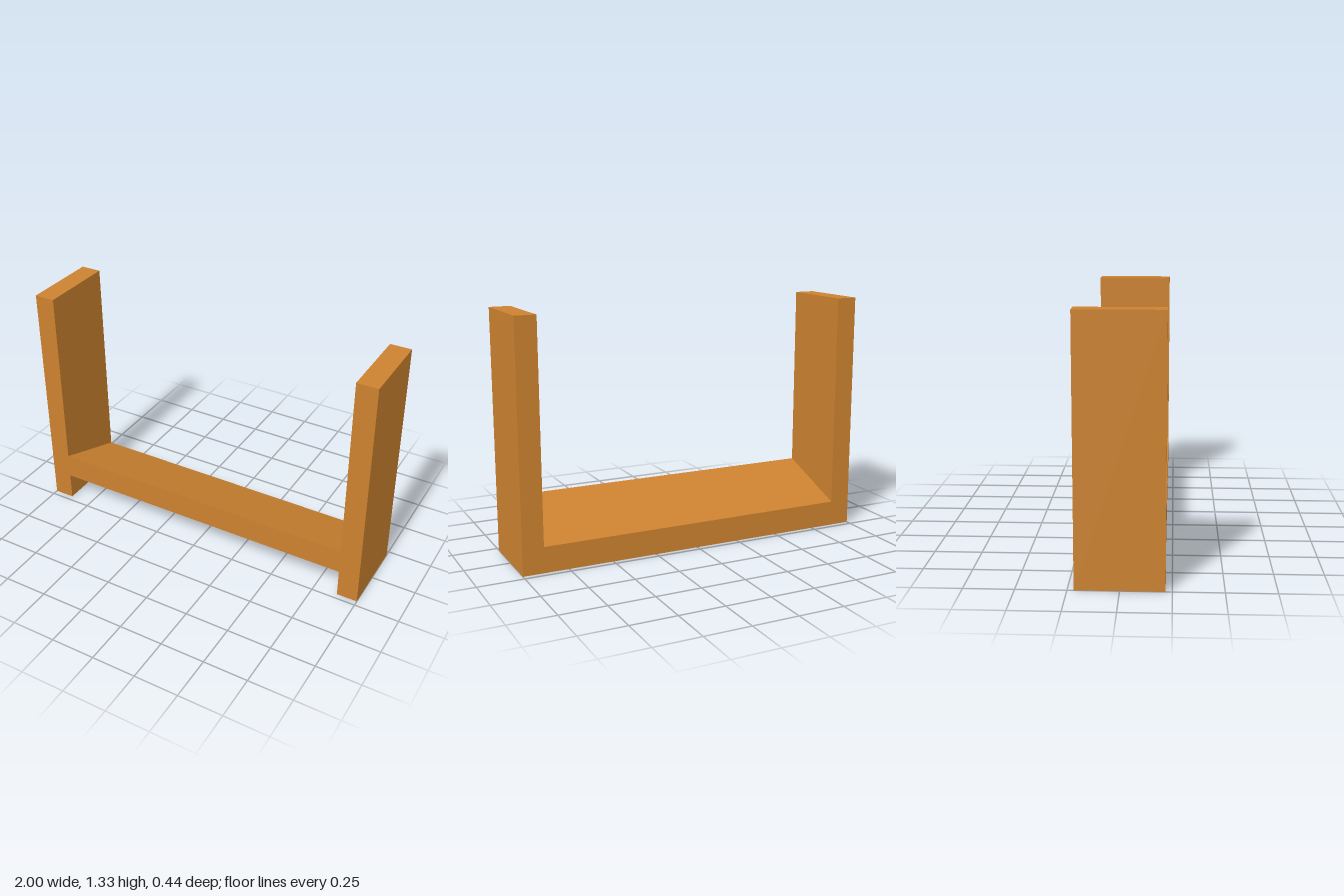
import * as THREE from 'three';

export function createModel() {
  const model = new THREE.Group();
  model.name = 'slopedRack';
  const wood = new THREE.MeshStandardMaterial({ color: 0xcc8230 });
  wood.name = 'warm wood';

  const height = 1.334, halfDepth = 0.218, thickness = 0.116;
  const innerX = 1 - thickness;

  // Upright side panels
  const panel = new THREE.BoxGeometry(thickness, height, halfDepth * 2);
  for (const [name, side] of [['leftPanel', 1], ['rightPanel', -1]]) {
    const mesh = new THREE.Mesh(panel, wood);
    mesh.name = name;
    mesh.position.set(side * (1 - thickness / 2), height / 2, 0);
    model.add(mesh);
  }

  // Shelf sloping down to the back, with vertical front and back edges (profile in z, y)
  const profile = new THREE.Shape([
    new THREE.Vector2(-halfDepth, 0),
    new THREE.Vector2(halfDepth, 0.16),
    new THREE.Vector2(halfDepth, 0.302),
    new THREE.Vector2(-halfDepth, 0.142),
  ]);
  const shelfGeometry = new THREE.ExtrudeGeometry(profile, { depth: innerX * 2, bevelEnabled: false });
  shelfGeometry.rotateY(-Math.PI / 2).translate(innerX, 0, 0);
  const shelf = new THREE.Mesh(shelfGeometry, wood);
  shelf.name = 'slopedShelf';
  model.add(shelf);

  return model;
}
